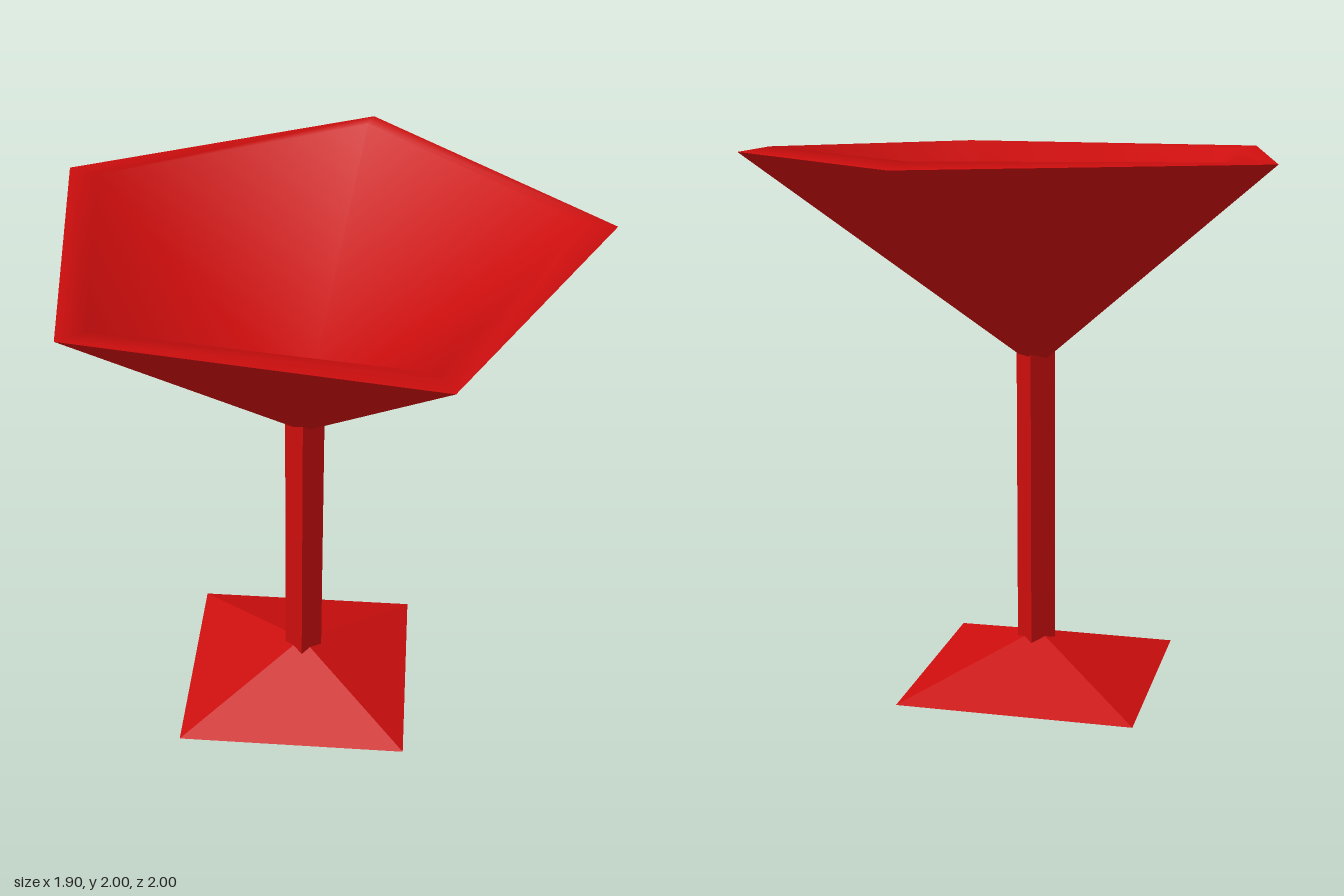
import * as THREE from 'three';

// Regular polygon of points around (cx, cz); y may vary with x
function ring(sides, radius, cx, cz, y, turn = 0) {
  return Array.from({ length: sides }, (_, i) => {
    const a = turn + (i / sides) * Math.PI * 2;
    const x = cx + Math.cos(a) * radius;
    return [x, typeof y === 'function' ? y(x) : y, cz + Math.sin(a) * radius];
  });
}

// Triangles from a ring to one point, facing up or down
function fan(points, tip, up) {
  return points.flatMap((p, i) => {
    const q = points[(i + 1) % points.length];
    return up ? [tip, q, p] : [tip, p, q];
  });
}

function geometryFrom(points, index) {
  const g = new THREE.BufferGeometry();
  g.setAttribute('position', new THREE.Float32BufferAttribute(points.flat(), 3));
  if (index) g.setIndex(index);
  g.computeVertexNormals();
  return g;
}

export function createModel() {
  const group = new THREE.Group();
  const color = 0xcc0d0d;
  const flat = new THREE.MeshStandardMaterial({ color, flatShading: true });
  const smooth = new THREE.MeshStandardMaterial({ color });

  const add = (name, geometry, material) => {
    const mesh = new THREE.Mesh(geometry, material);
    mesh.name = name;
    group.add(mesh);
    return mesh;
  };

  // Foot: low four-sided pyramid standing on a corner-forward square
  const foot = ring(4, 0.62, 0.05, -0.01, 0);
  add('foot', geometryFrom([
    ...fan(foot, [0.055, 0.17, 0], true),
    ...fan(foot, [0.05, 0, -0.01], false),
  ]), flat);

  // Stem: square post running from the foot into the bowl
  add('stem', new THREE.BoxGeometry(0.105, 1.13, 0.1), flat).position.set(0.063, 0.705, 0);

  // Bowl outside: five-sided inverted pyramid
  const sides = 5;
  const rim = ring(sides, 1.05, 0.1, 0, 1.975, Math.PI / 5);
  add('bowlOutside', geometryFrom(fan(rim, [0.06, 1.195, 0], false)), flat);

  // Bowl inside: slightly tilted lip, then a smooth-shaded hollow
  const lip = ring(sides, 0.93, 0.1, 0, (x) => 1.98 + 0.018 * x, Math.PI / 5);
  const index = [];
  for (let i = 0; i < sides; i++) {
    const j = (i + 1) % sides;
    index.push(sides + i, j, i, sides + i, sides + j, j);
    index.push(2 * sides, sides + j, sides + i);
  }
  add('bowlInside', geometryFrom([...rim, ...lip, [0.07, 1.3, 0]], index), smooth);

  return group;
}
